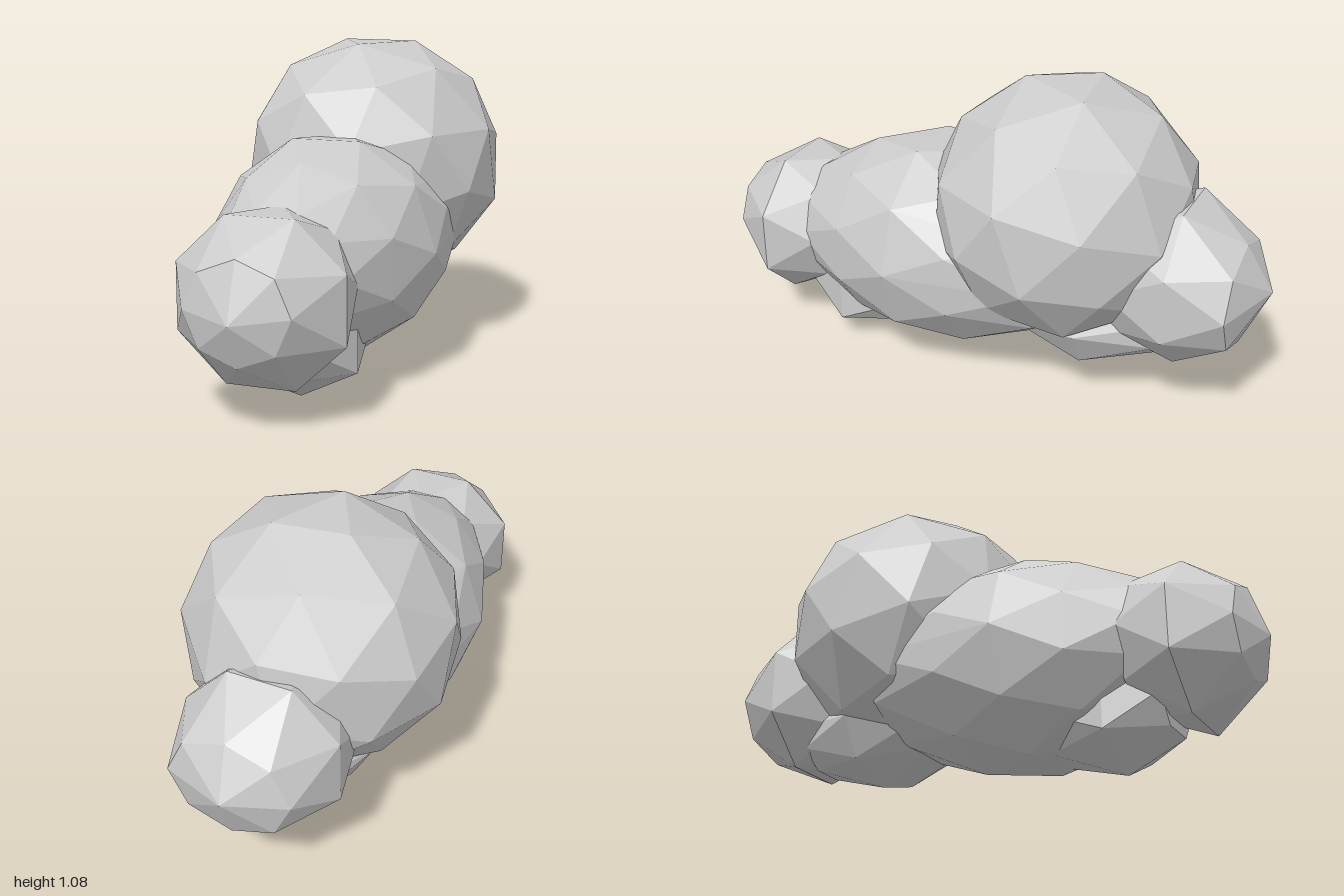
import * as THREE from 'three';
import { ConvexGeometry } from 'three/addons/geometries/ConvexGeometry.js';

const material = new THREE.MeshStandardMaterial({ color: 0xcccccc, flatShading: true });

// Faceted lump: closed skin around staggered rings [z, centreX, centreY, radiusX, radiusY]
function lump(name, sides, rings) {
  const points = [];
  rings.forEach(([z, x, y, rx, ry], i) => {
    for (let k = 0; k < (rx ? sides : 1); k++) {
      const a = ((k + (i % 2 ? 0 : 0.5)) / sides) * Math.PI * 2;
      points.push(new THREE.Vector3(x + Math.sin(a) * rx, y - Math.cos(a) * ry, z));
    }
  });
  const mesh = new THREE.Mesh(new ConvexGeometry(points), material);
  mesh.name = name;
  return mesh;
}

export function createModel() {
  const group = new THREE.Group();
  group.name = 'lumpCluster';

  // Large round mass
  const ball = new THREE.IcosahedronGeometry(1, 1).rotateX(0.7).rotateY(1.1);
  ball.scale(0.465, 0.45, 0.46).translate(0, 0.65, -0.28);
  const largeLump = new THREE.Mesh(ball, material);
  largeLump.name = 'largeLump';

  group.add(
    largeLump,
    // Long body reaching forward
    lump('longMiddleLump', 10, [
      [0.65, 0, 0.42, 0.22, 0.2],
      [0.44, 0, 0.42, 0.32, 0.32],
      [0.22, 0, 0.43, 0.38, 0.37],
      [0, 0, 0.43, 0.37, 0.345],
      [-0.28, 0, 0.45, 0.33, 0.25],
    ]),
    // Ends, each closing in a blunt tip
    lump('frontLump', 8, [
      [1, 0, 0.36, 0, 0],
      [0.94, 0, 0.38, 0.17, 0.16],
      [0.77, 0, 0.37, 0.295, 0.28],
      [0.58, 0, 0.4, 0.24, 0.23],
    ]),
    lump('rearLump', 8, [
      [-1, 0, 0.49, 0, 0],
      [-0.91, 0.02, 0.47, 0.21, 0.18],
      [-0.72, 0, 0.48, 0.285, 0.295],
      [-0.52, 0, 0.48, 0.24, 0.24],
    ]),
    // Small lumps underneath
    lump('frontLowerLump', 6, [
      [0.68, 0, 0.2, 0.13, 0.11],
      [0.5, 0.02, 0.19, 0.22, 0.19],
      [0.27, 0.02, 0.2, 0.16, 0.13],
    ]),
    lump('rearLowerLump', 8, [
      [-0.66, 0, 0.3, 0.15, 0.11],
      [-0.42, 0.01, 0.3, 0.25, 0.185],
      [-0.2, 0.02, 0.3, 0.19, 0.11],
    ])
  );
  return group;
}
